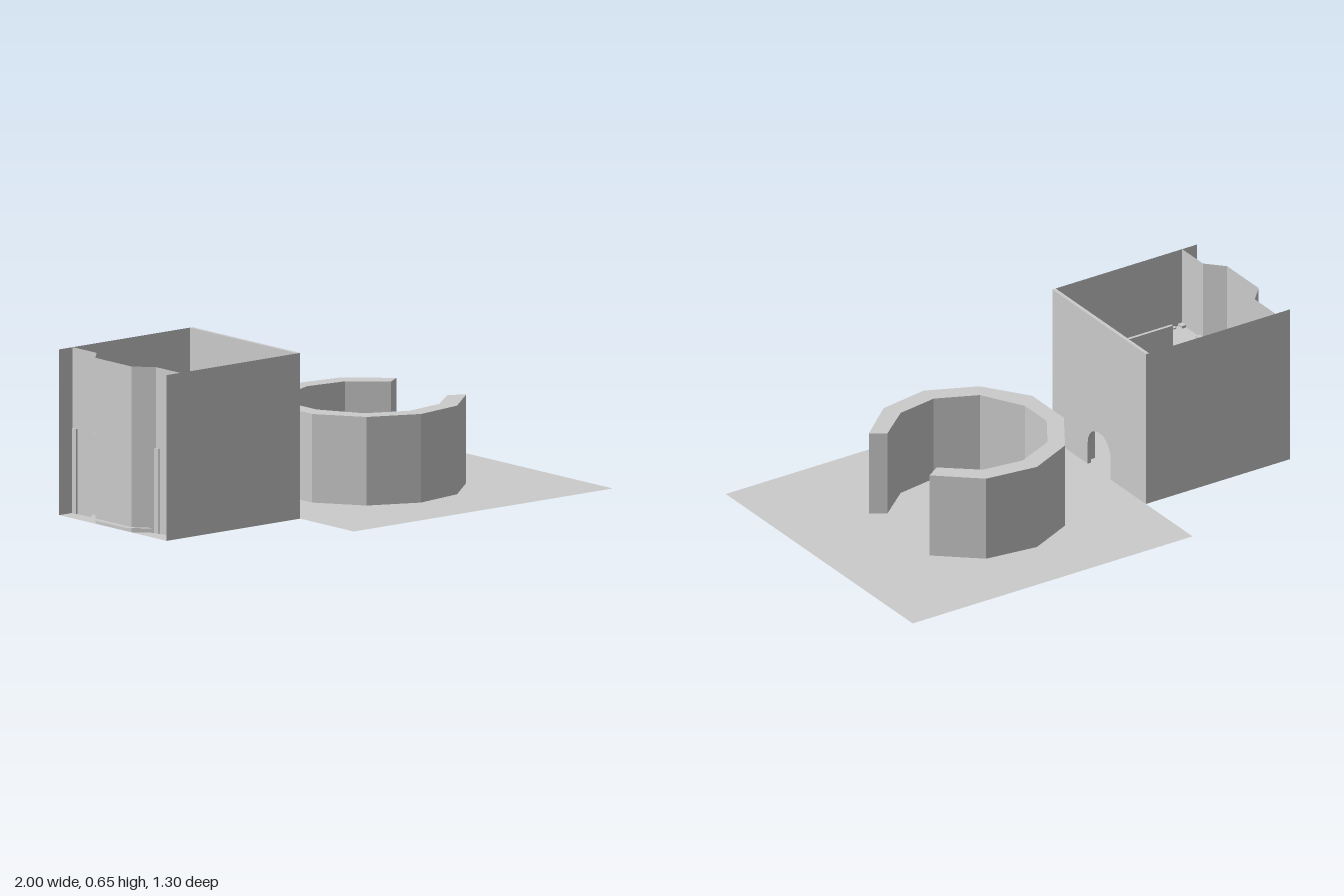
import * as THREE from 'three';

const grey = new THREE.MeshStandardMaterial({ color: 0xcccccc, flatShading: true });
const greyThin = new THREE.MeshStandardMaterial({ color: 0xcccccc, flatShading: true, side: THREE.DoubleSide });

const shapeOf = (pts) => new THREE.Shape(pts.map(([x, z]) => new THREE.Vector2(x, -z)));
const mirrored = (pts) => [...pts, ...pts.map(([x, z]) => [x, -z]).reverse()];

export function createModel() {
  const model = new THREE.Group();
  const add = (name, geometry, material = grey, parent = model) => {
    const mesh = new THREE.Mesh(geometry, material);
    mesh.name = name;
    parent.add(mesh);
    return mesh;
  };
  const box = (name, x, y, z, w, h, d, parent) =>
    add(name, new THREE.BoxGeometry(w, h, d), grey, parent).position.set(x, y, z);
  // Flat outline in plan, raised to a given height
  const plate = (name, shape, y, material, parent) =>
    add(name, new THREE.ShapeGeometry(shape).rotateX(-Math.PI / 2), material, parent).position.setY(y);
  // Thin upright wall between two plan points
  const wall = (name, [x0, z0], [x1, z1], y, h, parent) => {
    const m = add(name, new THREE.PlaneGeometry(Math.hypot(x1 - x0, z1 - z0), h), greyThin, parent);
    m.position.set((x0 + x1) / 2, y + h / 2, (z0 + z1) / 2);
    m.rotation.y = -Math.atan2(z1 - z0, x1 - x0);
  };

  // Ground
  plate('ground', shapeOf([[-0.305, 0.65], [1, 0.65], [1, -0.65], [-0.305, -0.65]]), 0, greyThin);

  // Open faceted ring wall
  const outer = [[0.63, -0.215], [0.463, -0.36], [0.245, -0.388], [0.055, -0.3], [-0.07, -0.105],
    [-0.07, 0.115], [0.055, 0.295], [0.255, 0.385], [0.465, 0.35], [0.63, 0.207]];
  const inner = [[0.57, -0.175], [0.433, -0.29], [0.26, -0.312], [0.095, -0.238], [0, -0.09],
    [0, 0.06], [0.095, 0.233], [0.26, 0.308], [0.433, 0.28], [0.57, 0.167]];
  add('ringWall', new THREE.ExtrudeGeometry(shapeOf([...outer, ...inner.reverse()]),
    { depth: 0.35, bevelEnabled: false }).rotateX(-Math.PI / 2));

  // Hall: floor and outer walls, open at the top
  const hall = new THREE.Group();
  hall.name = 'hall';
  model.add(hall);
  const H = 0.655, W = 0.325, X0 = -0.978, X1 = -0.305;
  plate('hallFloor', shapeOf([[X0, W], [X1, W], [X1, -W], [X0, -W]]), 0, greyThin, hall);
  for (const s of [-1, 1]) wall('sideWall', [X0, s * W], [X1, s * W], 0, H, hall);

  // Entrance wall with an arched doorway
  const arch = new THREE.Shape();
  arch.moveTo(-W, 0).lineTo(-0.08, 0).lineTo(-0.08, 0.09);
  arch.absarc(0, 0.09, 0.08, Math.PI, 0, true);
  arch.lineTo(0.08, 0).lineTo(W, 0).lineTo(W, H).lineTo(-W, H);
  add('entranceWall', new THREE.ExtrudeGeometry(arch, { depth: 0.015, bevelEnabled: false, curveSegments: 5 })
    .rotateY(Math.PI / 2), grey, hall).position.x = X1 - 0.015;

  // End wall with a faceted bay and its raised floor
  const bay = mirrored([[-0.91, -W], [-0.91, -0.18], [-0.975, -0.11]]);
  for (let i = 1; i < bay.length; i++) wall('bayWall', bay[i - 1], bay[i], 0, H, hall);
  plate('bayFloor', shapeOf([[-0.93, 0.18], [-0.93, -0.18], [-1, -0.11], [-1, 0.11]]), 0.02, grey, hall);

  // Gallery around three sides, with a balcony over the entrance
  const edge = mirrored([[-0.91, -0.185], [-0.47, -0.185], [-0.47, -0.11], [-0.535, -0.035]]);
  const outline = [[-0.91, W], [X1 - 0.015, W], [X1 - 0.015, -W], [-0.91, -W]];
  plate('galleryFloor', shapeOf([...outline, ...edge]), 0.325, greyThin, hall);
  const rail = mirrored([[-0.765, -0.185], [-0.47, -0.185], [-0.47, -0.11], [-0.535, -0.035]]);
  for (let i = 1; i < rail.length; i++) {
    const [a, b] = [rail[i - 1], rail[i]];
    const m = add('galleryRailing', new THREE.BoxGeometry(
      Math.hypot(b[0] - a[0], b[1] - a[1]) + 0.01, 0.1, 0.012), grey, hall);
    m.position.set((a[0] + b[0]) / 2, 0.375, (a[1] + b[1]) / 2);
    m.rotation.y = -Math.atan2(b[1] - a[1], b[0] - a[0]);
  }

  // Posts and beams carrying the gallery
  for (const s of [-1, 1]) {
    for (const [x, z] of [[-0.903, 0.31], [-0.903, 0.188], [-0.342, 0.31], [-0.342, 0.117]])
      box('galleryPost', x, 0.168, s * z, 0.026, 0.336, 0.026, hall);
    for (let i = 0; i < 4; i++)
      box('sideBeam', -0.815 + i * 0.13, 0.318, s * 0.316, 0.115, 0.025, 0.014, hall);
    box('entranceBeam', -0.342, 0.318, s * 0.22, 0.018, 0.025, 0.11, hall);
  }

  // Small stand near the bay
  box('stand', -0.84, 0.05, -0.035, 0.024, 0.1, 0.024, hall);
  return model;
}
